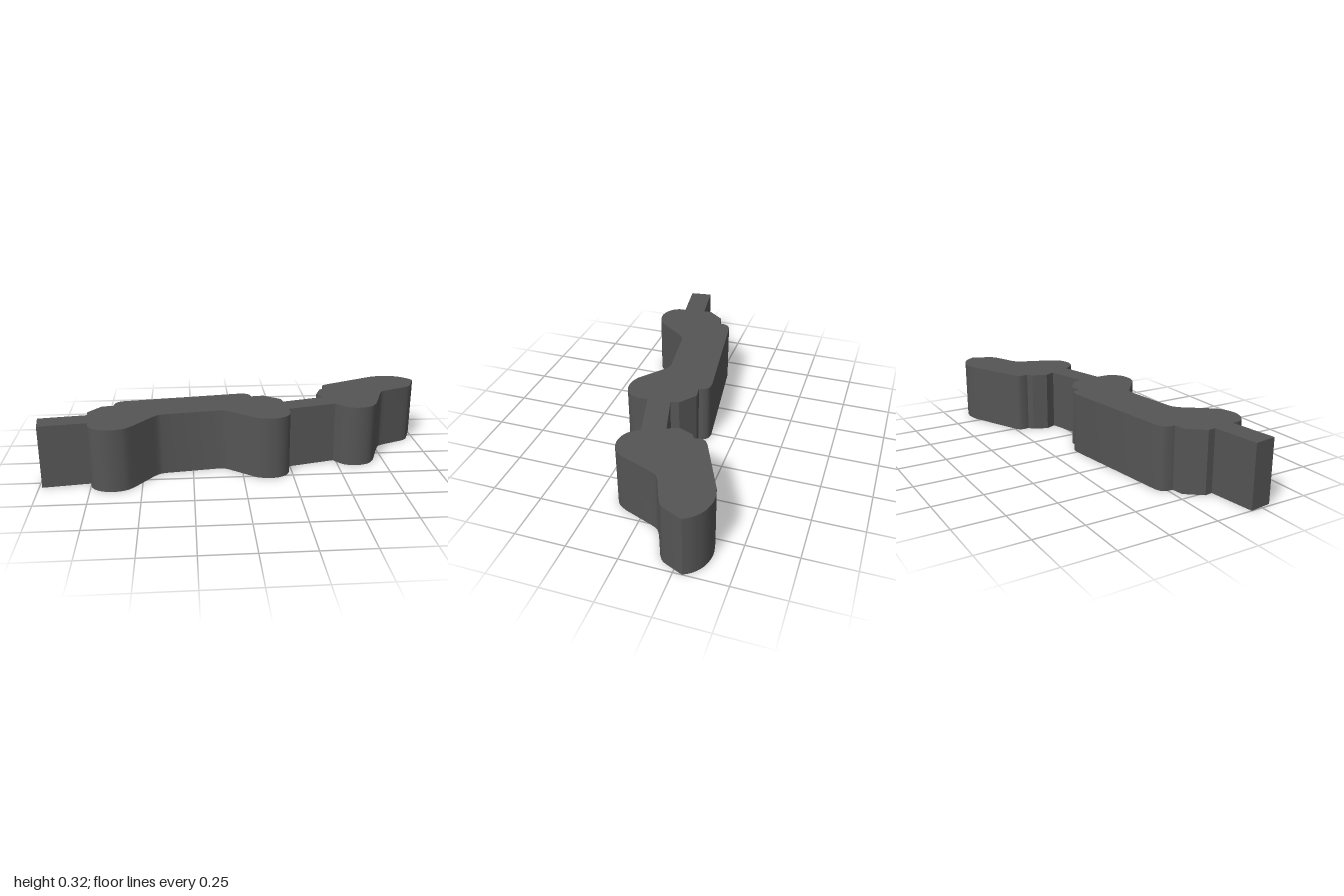
import * as THREE from 'three';
import { toCreasedNormals } from 'three/addons/utils/BufferGeometryUtils.js';

const HEIGHT = 0.316;
const material = new THREE.MeshStandardMaterial({ color: 0x555555 });

// Plan outline in (x, z): a pair is a corner, a list of pairs is a smooth bend through them.
function extrudePlan(name, outline) {
  const points = outline.flatMap((item) => {
    if (!Array.isArray(item[0])) return [new THREE.Vector2(item[0], -item[1])];
    const curve = new THREE.SplineCurve(item.map(([x, z]) => new THREE.Vector2(x, -z)));
    return curve.getPoints((item.length - 1) * 5);
  });
  const geometry = new THREE.ExtrudeGeometry(new THREE.Shape(points), {
    depth: HEIGHT, bevelEnabled: false,
  });
  geometry.rotateX(-Math.PI / 2);
  const mesh = new THREE.Mesh(toCreasedNormals(geometry, 0.45), material);
  mesh.name = name;
  return mesh;
}

export function createModel() {
  const group = new THREE.Group();
  group.name = 'chainSection';

  // Flat plate stub on the right end
  group.add(extrudePlan('endPlate', [[-1, 0.19], [-0.985, 0.304], [-0.75, 0.273], [-0.765, 0.158]]));

  // Long link with two lobes at the front and a stepped back
  group.add(extrudePlan('longLink', [
    [-0.765, 0.158], [-0.77, 0.118], [-0.705, 0.035], [-0.645, 0.025],
    [[-0.643, 0.0], [-0.63, -0.027], [-0.6, -0.042]],
    [[0.005, -0.122], [0.04, -0.117], [0.06, -0.095], [0.066, -0.07]],
    [0.13, -0.079], [0.215, -0.015], [0.224, 0.027], [0.235, 0.143],
    [[0.238, 0.195], [0.222, 0.238], [0.18, 0.27], [0.12, 0.278], [0.065, 0.262]],
    [[-0.052, 0.168], [-0.08, 0.148], [-0.115, 0.14]],
    [[-0.38, 0.174], [-0.415, 0.184], [-0.445, 0.21]],
    [[-0.54, 0.335], [-0.58, 0.366], [-0.65, 0.379], [-0.715, 0.355], [-0.745, 0.315], [-0.75, 0.273]],
  ]));

  // Plate joining the two links
  group.add(extrudePlan('joiningPlate', [[0.224, 0.027], [0.235, 0.143], [0.485, 0.08], [0.44, -0.03]]));

  // Short link with a rounded lobe and an angled head
  group.add(extrudePlan('shortLink', [
    [0.44, -0.03], [0.415, -0.083], [0.445, -0.158], [0.472, -0.177],
    [[0.468, -0.205], [0.475, -0.23], [0.5, -0.248]],
    [[0.78, -0.374], [0.85, -0.385], [0.92, -0.37], [0.97, -0.335], [1, -0.293]],
    [[0.967, -0.215], [0.952, -0.188], [0.925, -0.168]],
    [[0.805, -0.118], [0.775, -0.098], [0.757, -0.065]],
    [[0.7, 0.085], [0.673, 0.125], [0.635, 0.147], [0.585, 0.153], [0.53, 0.134], [0.485, 0.08]],
  ]));

  return group;
}
